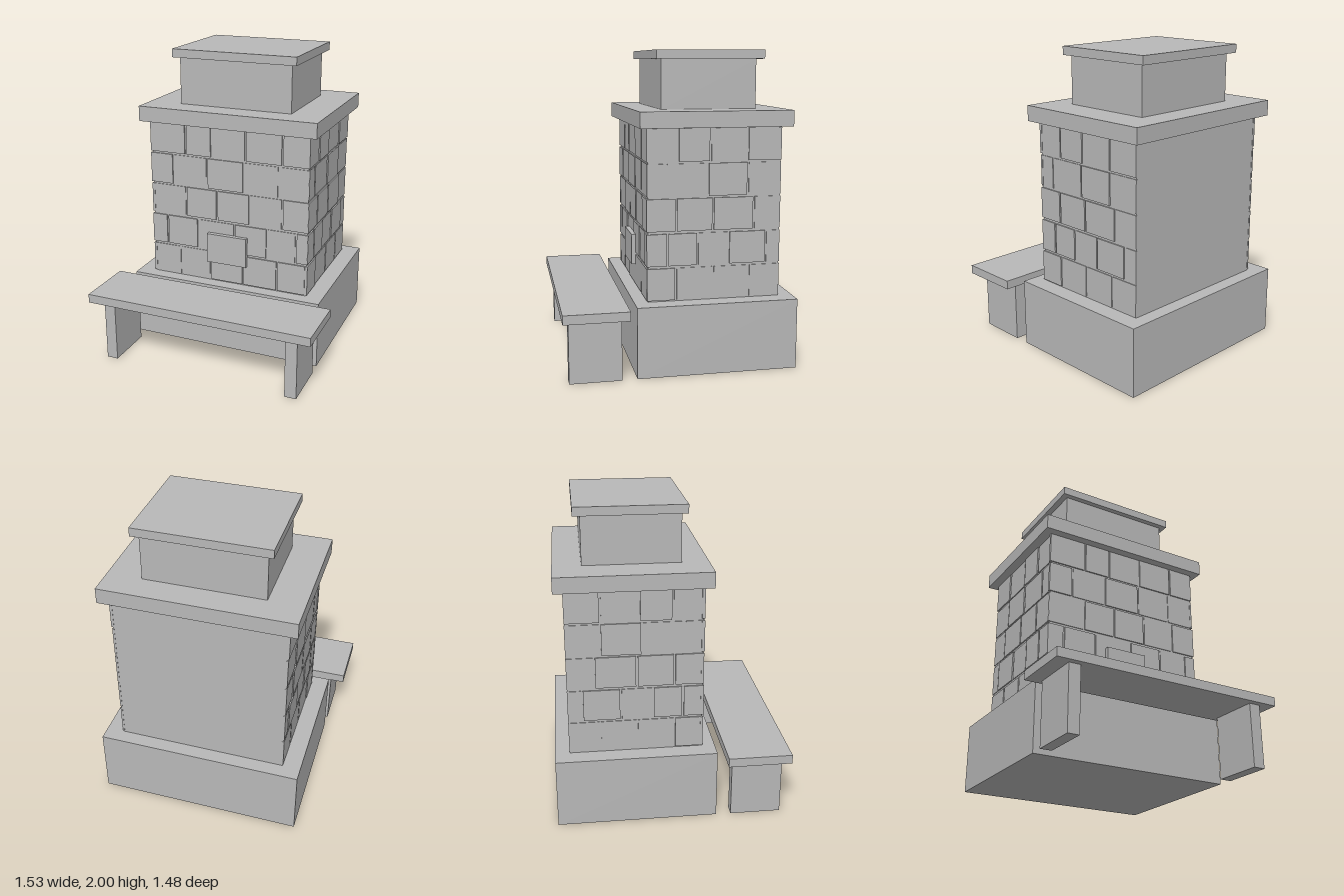
import * as THREE from 'three';

export function createModel() {
  const model = new THREE.Group();
  model.name = 'tiledStove';
  const stone = new THREE.MeshStandardMaterial({ color: 0xb8b8b8 });
  stone.name = 'grey stone';

  // Box given by its limits on each axis
  function block(name, [x0, x1], [y0, y1], [z0, z1], parent = model) {
    const mesh = new THREE.Mesh(new THREE.BoxGeometry(x1 - x0, y1 - y0, z1 - z0), stone);
    mesh.position.set((x0 + x1) / 2, (y0 + y1) / 2, (z0 + z1) / 2);
    mesh.name = name;
    parent.add(mesh);
    return mesh;
  }

  // Stacked masonry
  block('plinth', [-0.667, 0.663], [0.005, 0.455], [-0.74, 0.28]);
  block('stoveBody', [-0.548, 0.548], [0.455, 1.535], [-0.648, 0.193]);
  block('mantelSlab', [-0.612, 0.609], [1.535, 1.635], [-0.708, 0.25]);
  block('upperBody', [-0.387, 0.385], [1.635, 1.945], [-0.53, 0.08]);
  block('topCap', [-0.427, 0.424], [1.945, 2], [-0.575, 0.115]);

  // Bench in front, on two slab legs
  const bench = new THREE.Group();
  bench.name = 'bench';
  model.add(bench);
  block('benchSeat', [-0.765, 0.761], [0.408, 0.466], [0.335, 0.74], bench);
  block('benchLegRight', [-0.67, -0.595], [0.005, 0.408], [0.375, 0.7], bench);
  block('benchLegLeft', [0.59, 0.667], [0.005, 0.408], [0.375, 0.7], bench);

  // Door plate on the front
  block('frontPlate', [-0.143, 0.138], [0.6, 0.802], [0.19, 0.229]);

  // Tile courses from top to bottom: vertical joints, and which tiles stand proud
  const courseTops = [1.53, 1.315, 1.1, 0.882, 0.665];
  const tileHeight = 0.202;
  const gap = 0.012;
  const frontCourses = [
    { joints: [-0.565, -0.302, -0.117, 0.122, 0.374, 0.561], proud: [0, 1, 3, 4] },
    { joints: [-0.565, -0.395, -0.15, 0.11, 0.35, 0.561], proud: [0, 2] },
    { joints: [-0.565, -0.303, -0.08, 0.152, 0.378, 0.561], proud: [1, 2, 4] },
    { joints: [-0.565, -0.447, -0.22, 0.045, 0.275, 0.475, 0.561], proud: [0, 1, 3, 5] },
    { joints: [-0.565, -0.35, -0.13, 0.107, 0.347, 0.545], proud: [2, 3, 4] },
  ];
  const sideCourses = [
    { joints: [0.206, 0.006, -0.198, -0.434, -0.656], proud: [1, 3] },
    { joints: [0.206, 0.08, -0.183, -0.437, -0.656], proud: [2] },
    { joints: [0.206, 0.018, -0.216, -0.478, -0.656], proud: [0, 1, 2] },
    { joints: [0.206, 0.071, -0.118, -0.318, -0.558, -0.656], proud: [0, 1, 3] },
    { joints: [0.206, 0.018, -0.218, -0.45, -0.656], proud: [0] },
  ];

  function layTiles(courses, place) {
    courses.forEach(({ joints, proud }, row) => {
      const ys = [courseTops[row] - tileHeight, courseTops[row]];
      for (let i = 0; i < joints.length - 1; i++) {
        const a = Math.min(joints[i], joints[i + 1]) + gap / 2;
        const b = Math.max(joints[i], joints[i + 1]) - gap / 2;
        place([a, b], ys, proud.includes(i) ? 0.009 : 0.005);
      }
    });
  }

  const tiles = new THREE.Group();
  tiles.name = 'wallTiles';
  model.add(tiles);
  layTiles(frontCourses, (xs, ys, d) => block('frontTile', xs, ys, [0.183, 0.193 + d], tiles));
  layTiles(sideCourses, (zs, ys, d) => {
    block('leftTile', [0.54, 0.548 + d], ys, zs, tiles);
    block('rightTile', [-0.548 - d, -0.54], ys, zs, tiles);
  });

  return model;
}
